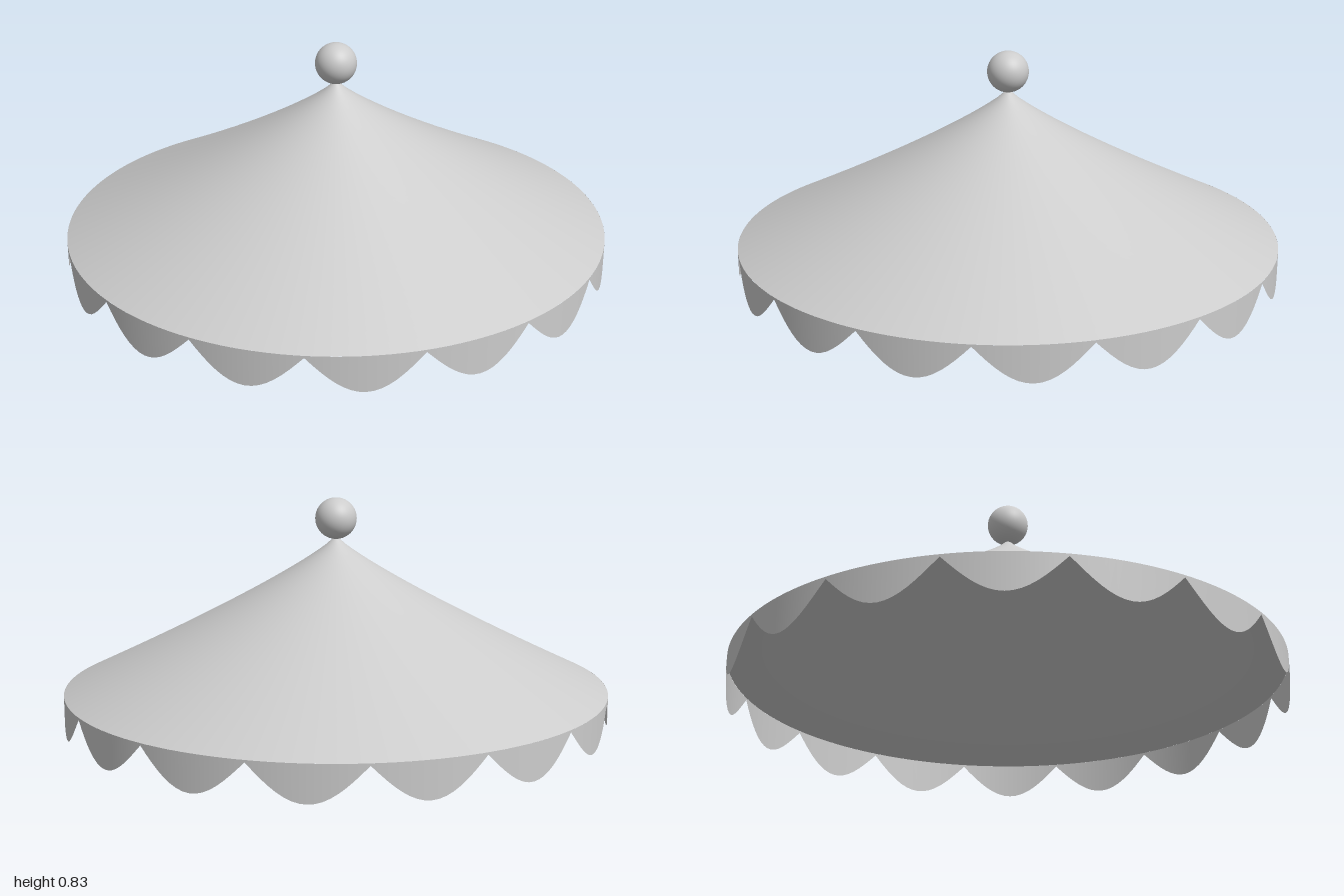
import * as THREE from 'three';

const RADIUS = 1, EAVE = 0.132, PEAK = 0.69, SCALLOPS = 16, BAND = 0.008;

export function createModel() {
  const model = new THREE.Group();
  const canvas = new THREE.MeshStandardMaterial({ color: 0xcccccc, side: THREE.DoubleSide });
  canvas.name = 'pale grey';

  const add = (name, geometry) => {
    const mesh = new THREE.Mesh(geometry, canvas);
    mesh.name = name;
    model.add(mesh);
    return mesh;
  };

  // Open canopy: a gently concave cone, steeper near the tip
  const profile = [];
  for (let i = 0; i <= 24; i++) {
    const r = 1 - i / 24;
    profile.push(new THREE.Vector2(r * RADIUS, EAVE + (PEAK - EAVE) * (1 - r ** 0.86)));
  }
  add('canopy', new THREE.LatheGeometry(profile, 128));

  // Hanging valance: an open band whose lower edge is cut into scallops
  const valance = new THREE.CylinderGeometry(RADIUS, RADIUS, EAVE, SCALLOPS * 16, 1, true);
  valance.translate(0, EAVE / 2, 0);
  const pos = valance.attributes.position;
  for (let i = 0; i < pos.count; i++) {
    if (pos.getY(i) > EAVE / 2) continue;
    const angle = Math.atan2(pos.getX(i), pos.getZ(i));
    const drop = Math.abs(Math.sin(angle * SCALLOPS / 2));
    pos.setY(i, (EAVE - BAND) * (1 - drop));
  }
  add('valance', valance);

  // Ball finial on the tip
  add('finial', new THREE.SphereGeometry(0.076, 40, 28)).position.y = 0.754;

  return model;
}
